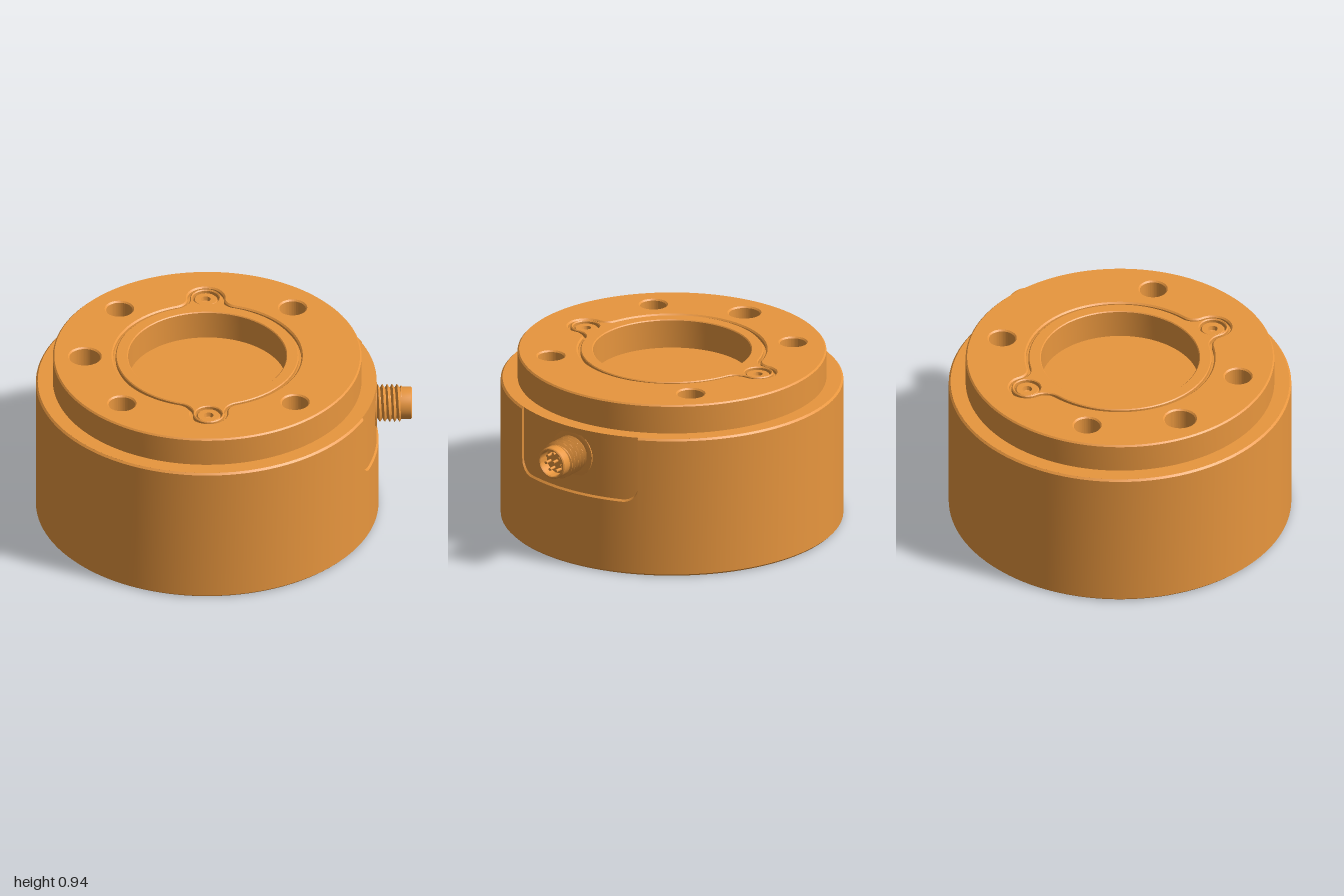
import * as THREE from 'three';
import { toCreasedNormals } from 'three/addons/utils/BufferGeometryUtils.js';

const R = 0.91, SKIN = 0.01, BODY_TOP = 0.78, TOP = 0.94, AXIS_X = -0.0875;
const EAR_Z = 0.565;
const material = new THREE.MeshStandardMaterial({ color: 0xe8963e, side: THREE.DoubleSide });

function part(name, geometry, parent) {
  const mesh = new THREE.Mesh(toCreasedNormals(geometry, 0.45), material);
  mesh.name = name;
  parent.add(mesh);
  return mesh;
}

const lathe = (points, segments = 96) =>
  new THREE.LatheGeometry(points.map(([r, y]) => new THREE.Vector2(r, y)), segments);

const circle = (x, y, r) => new THREE.Path().absarc(x, y, r, 0, Math.PI * 2, false);

// Horizontal plate between two heights, with chamfered rims
function plate(shape, holes, y0, y1, bevel) {
  shape.holes.push(...holes);
  const geometry = new THREE.ExtrudeGeometry(shape, {
    depth: y1 - y0 - 2 * bevel, curveSegments: 64, bevelEnabled: true, bevelSegments: 1,
    bevelSize: bevel, bevelThickness: bevel, bevelOffset: -bevel,
  });
  return geometry.rotateX(-Math.PI / 2).translate(0, y0 + bevel, 0);
}

// Ring outline with two filleted screw ears, offset outward by d
function earedOutline(d) {
  const ring = 0.5, ear = 0.097, fillet = 0.08;
  const a = ring + fillet, b = ear + fillet;
  const fy = (a * a - b * b + EAR_Z * EAR_Z) / (2 * EAR_Z), fx = Math.sqrt(a * a - fy * fy);
  const ringAngle = Math.atan2(fy, fx), earAngle = Math.atan2(fy - EAR_Z, fx);
  const shape = new THREE.Shape();
  for (const [s, turn] of [[1, 0], [-1, Math.PI]]) {
    const arc = (x, y, r, from, to, cw) => shape.absarc(s * x, s * y, r, from + turn, to + turn, cw);
    arc(0, 0, ring + d, -ringAngle, ringAngle, false);
    arc(fx, fy, fillet - d, ringAngle + Math.PI, earAngle + Math.PI, true);
    arc(0, EAR_Z, ear + d, earAngle, Math.PI - earAngle, false);
    arc(-fx, fy, fillet - d, -earAngle, -ringAngle, true);
  }
  return shape;
}

// Outer skin whose top edge drops to leave a shallow rounded pocket on the +x side
function skinGeometry() {
  const half = 0.38, corner = 0.08, floor = 0.42, columns = [];
  const edge = Math.asin(half / R);
  for (let i = 0; i <= 64; i++) {
    const s = half * Math.sin((i / 64 - 0.5) * Math.PI);
    const c = Math.min(corner, Math.max(0, Math.abs(s) - (half - corner)));
    columns.push([Math.asin(s / R), floor + corner - Math.sqrt(Math.max(0, corner * corner - c * c))]);
  }
  for (let i = 0; i <= 96; i++) columns.push([edge + (i / 96) * (2 * Math.PI - 2 * edge), BODY_TOP]);
  columns.push(columns[0]);
  const positions = [], index = [];
  columns.forEach(([angle, top], i) => {
    const rows = [[R - SKIN, 0], [R, SKIN], [R, top - SKIN], [R - SKIN, top]];
    for (const [r, y] of rows) positions.push(r * Math.cos(angle), y, -r * Math.sin(angle));
    if (i === 0) return;
    for (let j = 0; j < 3; j++) {
      const a = (i - 1) * 4 + j, b = i * 4 + j;
      index.push(a, b, b + 1, a, b + 1, a + 1);
    }
  });
  const geometry = new THREE.BufferGeometry();
  geometry.setAttribute('position', new THREE.Float32BufferAttribute(positions, 3));
  geometry.setIndex(index);
  return geometry;
}

// Helical thread: a fine lathe whose radius follows a slanted triangle wave
function threadGeometry(y0, y1, rMin, rMax, pitch) {
  const points = [];
  for (let i = 0; i <= 72; i++) points.push([rMax, y0 + ((y1 - y0) * i) / 72]);
  const geometry = lathe(points, 40), p = geometry.attributes.position;
  for (let i = 0; i < p.count; i++) {
    const x = p.getX(i), y = p.getY(i), z = p.getZ(i);
    const phase = y / pitch + Math.atan2(z, x) / (2 * Math.PI);
    const wave = Math.abs((phase - Math.floor(phase)) * 2 - 1);
    const fade = Math.min(1, (y1 - y) / 0.01);
    const k = (rMin + (rMax - rMin) * wave * fade) / rMax;
    p.setXYZ(i, x * k, y, z * k);
  }
  return geometry;
}

function buildConnector() {
  const connector = new THREE.Group();
  connector.name = 'connector';
  // Built along y, with y equal to the final x
  part('connectorSeat', lathe([[0.13, 0.74], [0.13, 0.81], [0.11, 0.814], [0, 0.814]], 48), connector);
  part('connectorThread', threadGeometry(0.8, 0.95, 0.081, 0.102, 0.026), connector);
  part('connectorSleeve', lathe([
    [0.08, 0.9], [0.086, 0.94], [0.086, 0.995], [0.081, 1], [0.075, 1], [0.071, 0.995], [0.071, 0.94], [0, 0.94],
  ], 48), connector);
  for (let i = 0; i < 8; i++) {
    const angle = ((i + 0.5) / 7) * Math.PI * 2, r = i === 7 ? 0 : 0.048;
    const pin = part('contactPin', new THREE.CylinderGeometry(0.008, 0.008, 0.045, 12), connector);
    pin.position.set(r * Math.cos(angle), 0.96, r * Math.sin(angle));
  }
  const key = part('connectorKey', new THREE.BoxGeometry(0.012, 0.05, 0.014), connector);
  key.position.set(0, 0.965, -0.066);
  connector.rotation.z = -Math.PI / 2;
  connector.position.y = 0.63;
  return connector;
}

export function createModel() {
  const model = new THREE.Group();
  model.name = 'flangedSensor';
  const body = new THREE.Group();
  body.name = 'housing';
  body.position.x = AXIS_X;
  model.add(body);

  // Housing drum
  part('housingCore', lathe([[0, 0], [R - SKIN, 0], [R - SKIN, BODY_TOP], [0, BODY_TOP]], 128), body);
  part('housingSkin', skinGeometry(), body);

  // Mounting flange with bolt holes and one larger locating hole
  const holes = [circle(-0.65, 0, 0.082)];
  for (const x of [-0.46, 0.46]) for (const y of [-0.46, 0.46]) holes.push(circle(x, y, 0.07));
  const disc = new THREE.Shape().absarc(0, 0, 0.82, 0, Math.PI * 2, false);
  part('mountingFlange', plate(disc, [...holes, earedOutline(0)], BODY_TOP - 0.02, TOP, 0.008), body);

  // Eared cover ring, separated from the flange by a narrow groove
  const openings = (bore) => [circle(0, 0, bore), circle(0, EAR_Z, 0.07), circle(0, -EAR_Z, 0.07)];
  part('grooveFloor', plate(earedOutline(0.004), openings(0.425), BODY_TOP - 0.02, TOP - 0.025, 0.002), body);
  part('coverRing', plate(earedOutline(-0.014), openings(0.42), BODY_TOP - 0.02, TOP, 0.005), body);

  // Cover screws with a small drive recess
  for (const z of [-EAR_Z, EAR_Z]) {
    const screw = part('coverScrew', lathe([
      [0.064, BODY_TOP], [0.064, 0.921], [0.058, 0.928], [0.026, 0.928], [0.022, 0.905], [0, 0.898],
    ], 32), body);
    screw.position.z = z;
  }

  model.add(buildConnector());
  return model;
}
